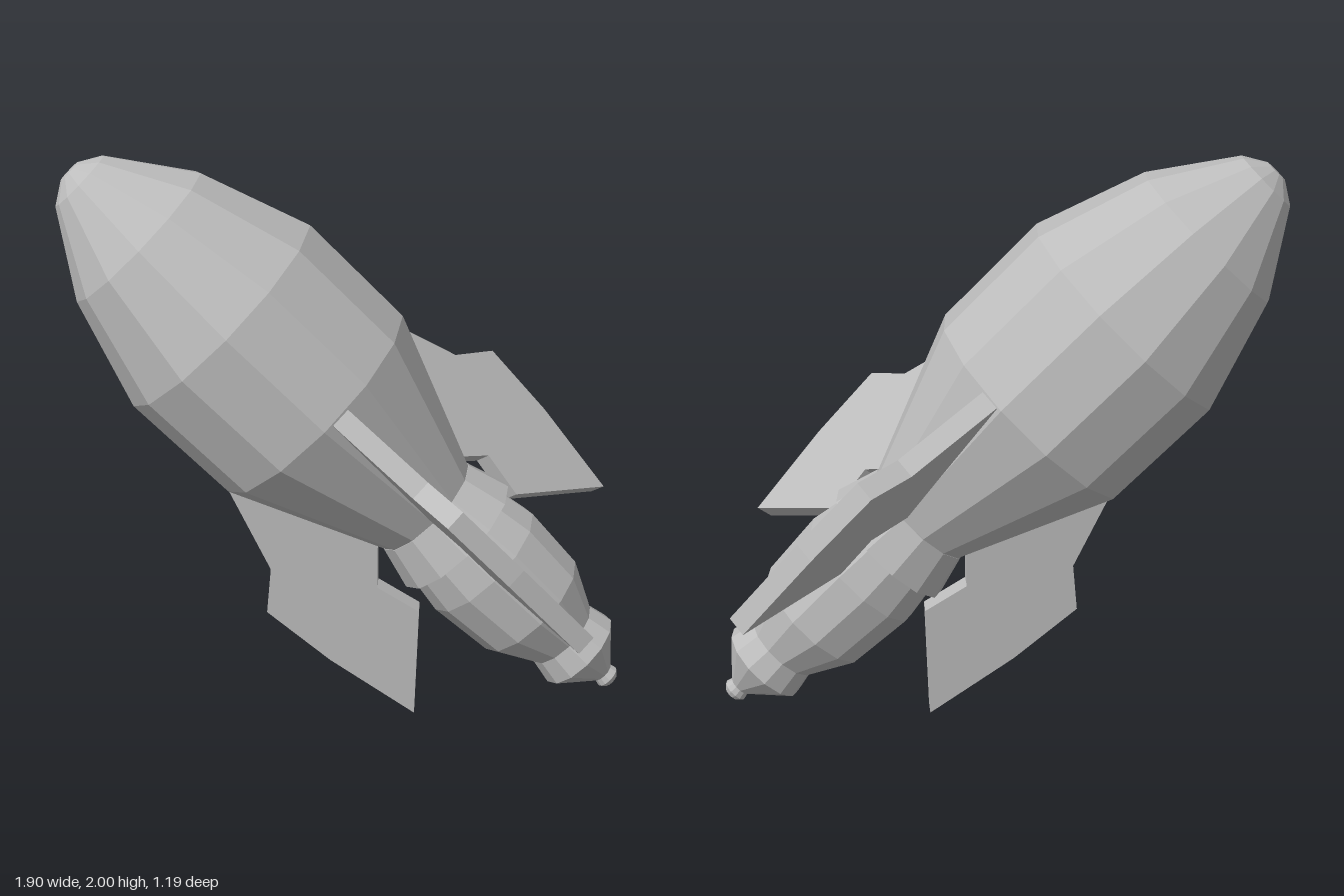
import * as THREE from 'three';

const SIDES = 13;
const rad = THREE.MathUtils.degToRad;

export function createModel() {
  const model = new THREE.Group();
  model.name = 'rocket';
  const grey = new THREE.MeshStandardMaterial({ color: 0xbcbcbc, flatShading: true });
  grey.name = 'plain grey';

  // Tilted frame: local +y runs along the hull towards the nose
  const rocket = new THREE.Group();
  rocket.name = 'tiltedRocket';
  rocket.position.set(0.526, 0.526, -0.045);
  rocket.rotation.z = Math.PI / 4;
  model.add(rocket);

  // Turned part from [radius, height] pairs, listed tail to nose
  const turned = (name, profile) => {
    const points = profile.map(([r, y]) => new THREE.Vector2(r, y));
    const mesh = new THREE.Mesh(new THREE.LatheGeometry(points, SIDES, rad(13)), grey);
    mesh.name = name;
    rocket.add(mesh);
  };

  turned('hull', [[0, 0.36], [0.204, 0.371], [0.419, 0.909], [0.421, 1.342],
    [0.294, 1.713], [0.114, 1.973], [0.04, 2.018], [0, 2.02]]);
  turned('collar', [[0.19, 0.22], [0.249, 0.22], [0.206, 0.371], [0, 0.371]]);
  turned('engine', [[0, -0.315], [0.138, -0.315], [0.22, -0.15], [0.238, 0.085],
    [0.214, 0.225], [0, 0.225]]);
  turned('nozzle', [[0, -0.53], [0.04, -0.53], [0.157, -0.403], [0.138, -0.313], [0, -0.313]]);
  turned('nozzleTip', [[0, -0.573], [0.03, -0.573], [0.044, -0.555], [0.036, -0.525], [0, -0.525]]);

  // Swept fin outline: radius outwards, height along the hull
  const outline = [[0.418, 0.905], [0.535, 0.583], [0.666, 0.474], [0.641, 0.187],
    [0.576, -0.169], [0.277, 0.113], [0.316, 0.279], [0.206, 0.389], [0.15, 0.42], [0.36, 0.89]];
  const thickness = 0.07;
  const finGeometry = new THREE.ExtrudeGeometry(
    new THREE.Shape(outline.map(([r, y]) => new THREE.Vector2(r, y))),
    { depth: thickness, bevelEnabled: false });
  finGeometry.translate(0, 0, -thickness / 2);

  // Three fins set around the hull
  for (const [name, angle, shift] of [['leftFin', 22.5, 0], ['rightFin', 144.5, 0], ['lowerFin', 270, 0.035]]) {
    const fin = new THREE.Mesh(finGeometry, grey);
    fin.name = name;
    fin.rotation.y = rad(angle - 90);
    fin.position.z = shift;
    rocket.add(fin);
  }
  return model;
}
